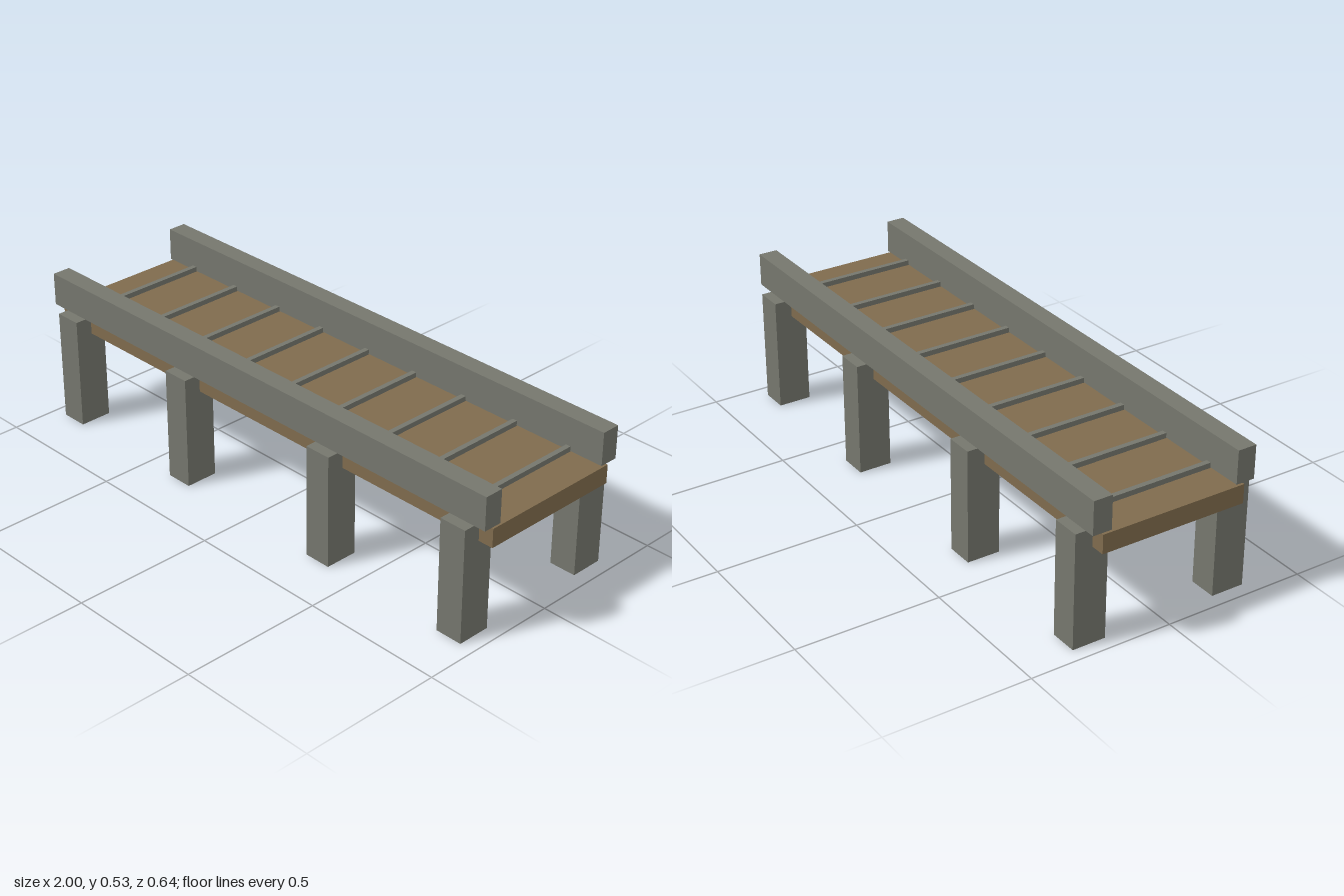
import * as THREE from 'three';

export function createModel() {
  const group = new THREE.Group();
  const stone = new THREE.MeshStandardMaterial({ color: 0x75766d });
  stone.name = 'grey stone';
  const wood = new THREE.MeshStandardMaterial({ color: 0x7f6b4d });
  wood.name = 'brown wood';

  // Box given by its centre in x and z, its bottom and its top
  function box(name, material, x, z, bottom, top, width, depth) {
    const mesh = new THREE.Mesh(new THREE.BoxGeometry(width, top - bottom, depth), material);
    mesh.position.set(x, (bottom + top) / 2, z);
    mesh.name = name;
    group.add(mesh);
  }

  // Deck
  box('deck', wood, 0, 0, 0.338, 0.404, 2, 0.516);

  // Thin cross slats just above the deck
  for (let i = -4; i <= 4; i++) {
    box('crossSlat', stone, i * 0.217, 0, 0.409, 0.427, 0.018, 0.5);
  }

  // Side rails and the posts under them
  for (const side of [1, -1]) {
    const name = side > 0 ? 'front' : 'back';
    box(name + 'Rail', stone, 0, side * 0.261, 0.411, 0.527, 2, 0.066);
    for (const x of [-0.902, -0.335, 0.333, 0.898]) {
      box(name + 'Post', stone, x, side * 0.261, 0, 0.4, 0.097, 0.117);
    }
  }
  return group;
}
